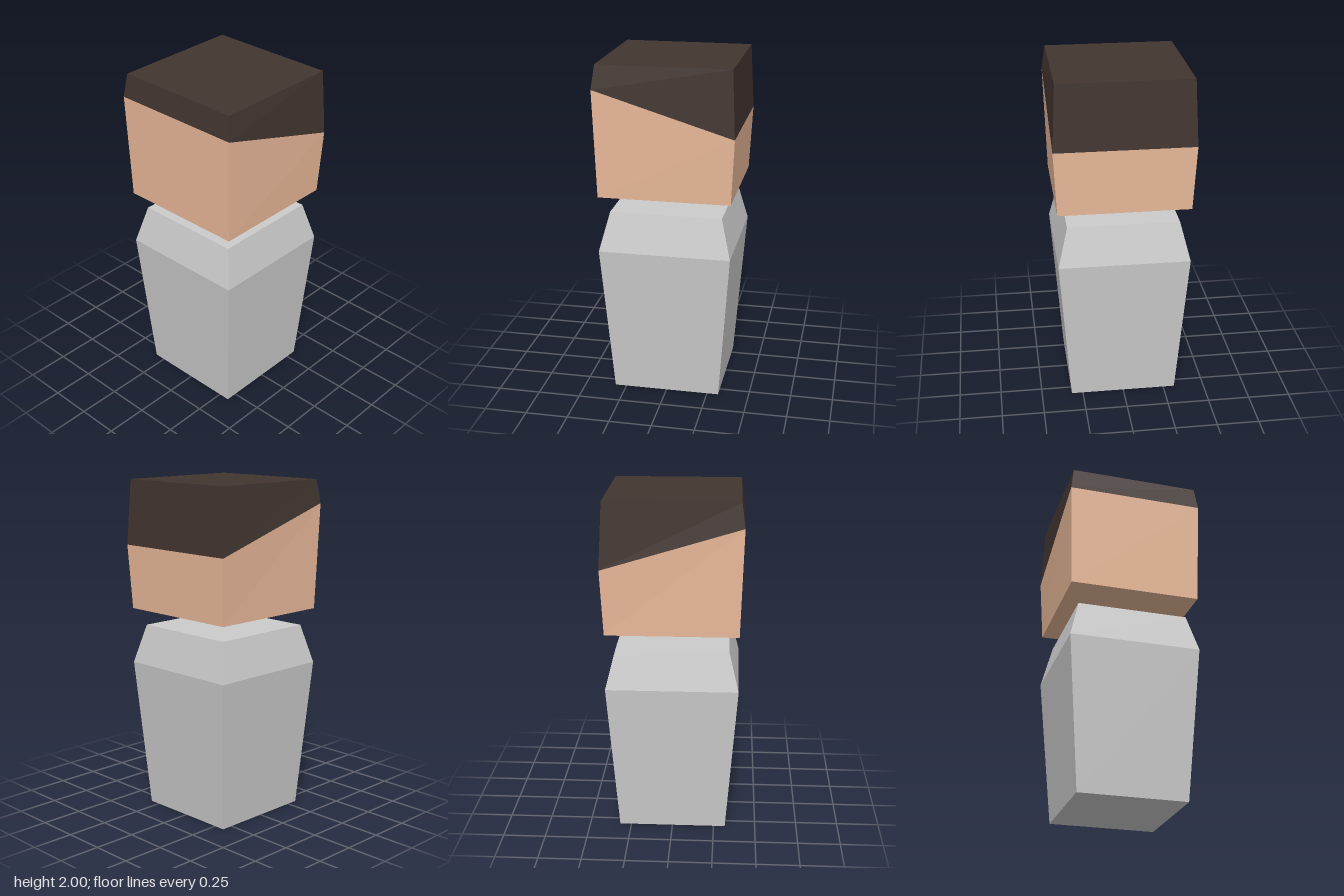
import * as THREE from 'three';

// Square cross-section: half width, height at the front edge, height at the back edge
const ring = (half, front, back = front) => [
  [-half, front, half], [half, front, half], [half, back, -half], [-half, back, -half],
];

// Joins square rings from bottom to top, with optional end caps
function loft(name, color, rings, capBottom, capTop) {
  const positions = [];
  const quad = (a, b, c, d) => positions.push(...a, ...b, ...c, ...a, ...c, ...d);
  for (let i = 0; i < rings.length - 1; i++) {
    const low = rings[i], high = rings[i + 1];
    for (let k = 0; k < 4; k++) {
      const n = (k + 1) % 4;
      quad(low[k], low[n], high[n], high[k]);
    }
  }
  if (capBottom) quad(...[...rings[0]].reverse());
  if (capTop) quad(...rings[rings.length - 1]);

  const geometry = new THREE.BufferGeometry();
  geometry.setAttribute('position', new THREE.Float32BufferAttribute(positions, 3));
  geometry.computeVertexNormals();
  const material = new THREE.MeshStandardMaterial({ color, flatShading: true, side: THREE.DoubleSide });
  const mesh = new THREE.Mesh(geometry, material);
  mesh.name = name;
  return mesh;
}

export function createModel() {
  const model = new THREE.Group();
  model.name = 'blockFigure';

  // Tapered body with sloping shoulders
  model.add(loft('body', 0xcccccc, [ring(0.318, 0), ring(0.385, 0.9), ring(0.327, 1.13)], true, true));

  // Floating head: face and hair meet along a hairline that drops to the back
  const hairline = ring(0.403, 1.86, 1.615);
  const head = new THREE.Group();
  head.name = 'head';
  head.add(loft('face', 0xebba9a, [ring(0.384, 1.232), hairline], true, false));
  head.add(loft('hair', 0x423530, [hairline, ring(0.384, 2)], false, true));
  model.add(head);

  return model;
}
